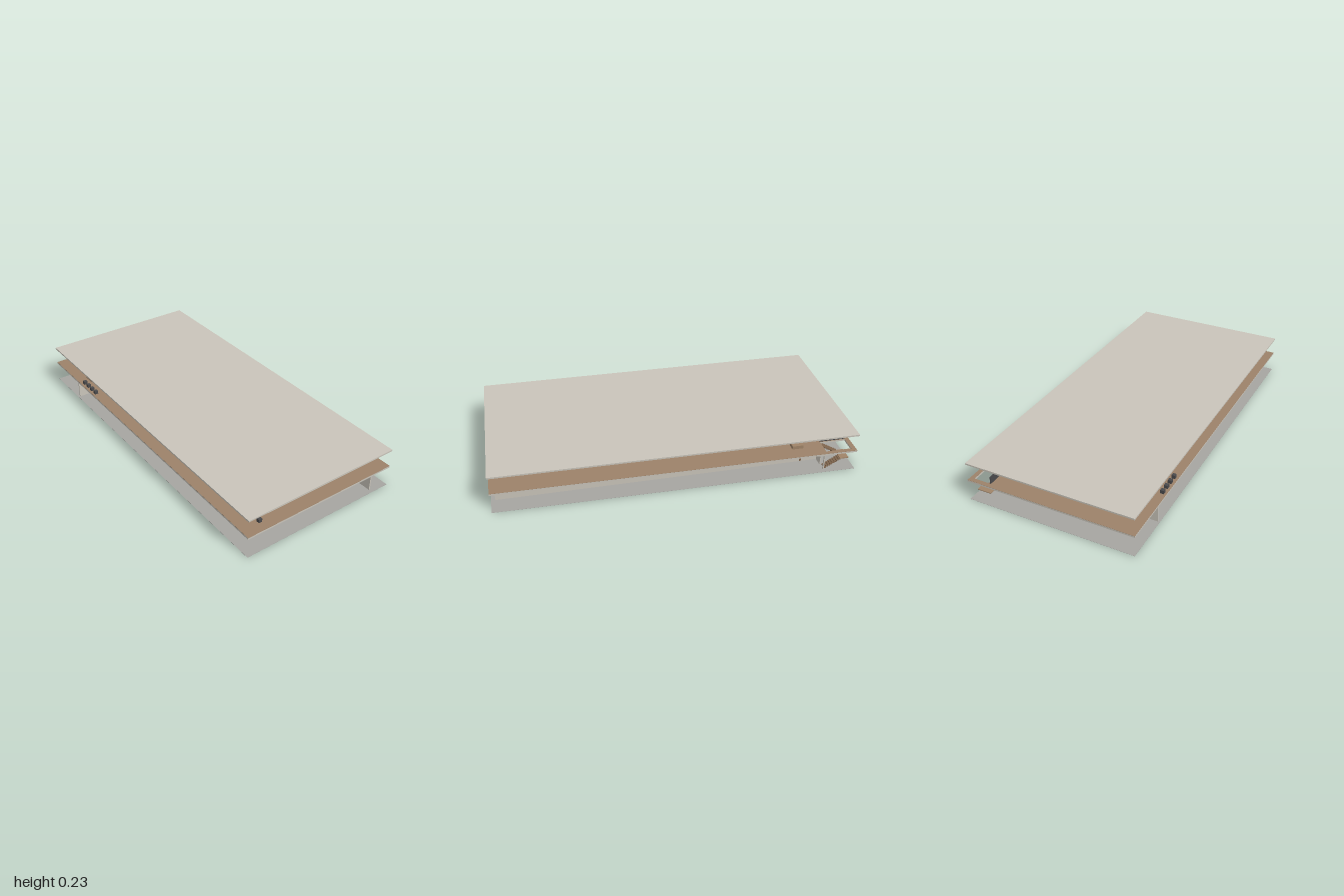
import * as THREE from 'three';

const mat = (name, color, side = THREE.FrontSide) => {
  const m = new THREE.MeshStandardMaterial({ color, side });
  m.name = name;
  return m;
};

export function createModel() {
  const plaster = mat('plaster', 0xc9c4ba);
  const concrete = mat('groundConcrete', 0xa6a5a1);
  const floorWood = mat('floorWood', 0x9c8269);
  const wood = mat('furnitureWood', 0xa08468);
  const darkWood = mat('darkWood', 0x80664e);
  const dark = mat('charcoal', 0x4a4a4c);

  const model = new THREE.Group();
  model.name = 'pavilion';

  const group = (name) => {
    const g = new THREE.Group();
    g.name = name;
    model.add(g);
    return g;
  };

  // Box given by its min and max corners
  const box = (parent, name, material, [x0, y0, z0], [x1, y1, z1]) => {
    const m = new THREE.Mesh(new THREE.BoxGeometry(x1 - x0, y1 - y0, z1 - z0), material);
    m.position.set((x0 + x1) / 2, (y0 + y1) / 2, (z0 + z1) / 2);
    m.name = name;
    parent.add(m);
    return m;
  };

  // Slightly skewed plate, corners as [x, z], with an optional stair opening
  const outline = [[-0.48, 1], [0.455, 1], [0.48, -1], [-0.465, -1]];
  const opening = [[0.362, -0.828], [0.455, -0.828], [0.455, -0.975], [0.362, -0.975]];
  const toPoints = (list) => list.map(([x, z]) => new THREE.Vector2(x, -z));
  const plate = (name, material, y0, y1, hole) => {
    const shape = new THREE.Shape(toPoints(outline));
    if (hole) shape.holes.push(new THREE.Path(toPoints(opening)));
    const geo = new THREE.ExtrudeGeometry(shape, { depth: y1 - y0, bevelEnabled: false });
    geo.rotateX(-Math.PI / 2);
    const m = new THREE.Mesh(geo, material);
    m.position.y = y0;
    m.name = name;
    model.add(m);
  };

  // Ground, upper floor and roof
  plate('ground', concrete, 0, 0.001, false);
  plate('floorSlab', plaster, 0.113, 0.1225, true);
  plate('floorBoards', floorWood, 0.1225, 0.1235, true);
  plate('roofSlab', plaster, 0.218, 0.227, false);

  // Ground floor walls with door openings
  const walls = group('walls');
  const wallTop = 0.113, doorTop = 0.087;
  const wallWithDoor = (name, x0, x1, d0, d1, z0, z1) => {
    box(walls, name + 'Left', plaster, [x0, 0.001, z0], [d0, wallTop, z1]);
    box(walls, name + 'Right', plaster, [d1, 0.001, z0], [x1, wallTop, z1]);
    box(walls, name + 'Lintel', plaster, [d0, doorTop, z0], [d1, wallTop, z1]);
  };
  wallWithDoor('backWall', -0.456, 0.338, -0.233, -0.195, -0.732, -0.725);
  wallWithDoor('stairWall', 0.345, 0.455, 0.405, 0.445, -0.828, -0.822);
  box(walls, 'sideWall', plaster, [0.345, 0.001, -0.72], [0.352, wallTop, 0.978]);
  box(walls, 'sideWallBack', plaster, [0.345, 0.001, -0.822], [0.352, wallTop, -0.73]);
  box(walls, 'cornerPost', darkWood, [0.338, 0.001, -0.73], [0.353, wallTop, -0.72]);

  // Two open flights of treads meeting at a landing
  const stairs = group('stairs');
  const steps = 8;
  for (let i = 0; i < steps; i++) {
    const z = -0.832 - i * 0.0115;
    const low = 0.006 + i * 0.0065, high = 0.114 - i * 0.0068;
    box(stairs, 'lowerTread', darkWood, [0.408, low - 0.003, z - 0.013], [0.446, low + 0.002, z]);
    box(stairs, 'upperTread', darkWood, [0.366, high - 0.003, z - 0.013], [0.403, high + 0.002, z]);
  }
  box(stairs, 'landing', wood, [0.366, 0.053, -0.972], [0.446, 0.058, -0.922]);

  // Guard panel beside the stair opening
  box(model, 'stairGuard', dark, [0.354, 0.1235, -0.975], [0.358, 0.165, -0.825]);

  // Upper floor desks, seats and stools
  const furniture = group('upperFurniture');
  const y0 = 0.1235, y1 = 0.143;
  for (let i = 0; i < 6; i++) {
    const x = -0.374 + i * 0.1485;
    box(furniture, 'desk', wood, [x - 0.031, y0, -0.715], [x + 0.031, y1, -0.652]);
  }
  for (let i = 0; i < 4; i++) {
    const z = -0.52 - i * 0.045;
    box(furniture, 'seat', dark, [-0.455, y0, z - 0.01], [-0.435, y1, z + 0.01]);
  }
  box(furniture, 'frontSeat', dark, [-0.376, y0, 0.93], [-0.357, y1, 0.95]);
  box(furniture, 'frontStool', darkWood, [-0.365, y0, 0.882], [-0.345, y1, 0.9]);

  // Low seats on the ground floor
  const lounge = group('groundSeats');
  const seats = [[-0.312, -0.216], [-0.268, -0.147], [-0.285, -0.05], [0.113, 0.61]];
  for (const [x, z] of seats) {
    box(lounge, 'lowSeat', darkWood, [x - 0.013, 0.001, z - 0.013], [x + 0.013, 0.018, z + 0.013]);
  }

  return model;
}
